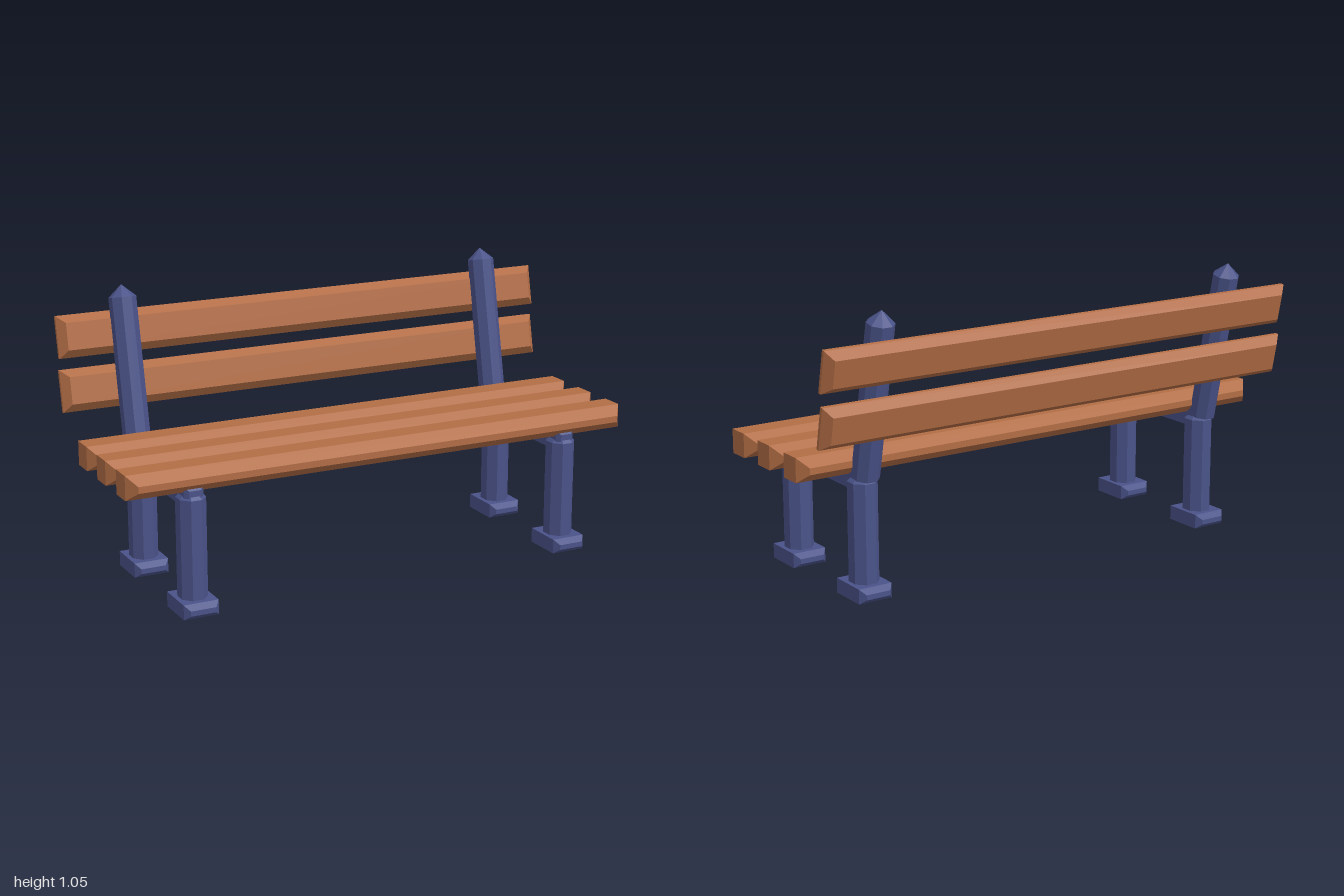
import * as THREE from 'three';

// Rectangular bar running along z whose two z ends are chamfered inwards
function bevelBar(width, height, depth, bevel, inset) {
  const w = width / 2, h = height / 2;
  const shape = new THREE.Shape([
    new THREE.Vector2(-w, -h), new THREE.Vector2(w, -h),
    new THREE.Vector2(w, h), new THREE.Vector2(-w, h),
  ]);
  return new THREE.ExtrudeGeometry(shape, {
    depth: depth - 2 * bevel, bevelEnabled: true, bevelSegments: 1,
    bevelThickness: bevel, bevelSize: inset, bevelOffset: -inset,
  }).center();
}

export function createModel() {
  const wood = new THREE.MeshStandardMaterial({ color: 0xb26d45, flatShading: true });
  wood.name = 'wood';
  const metal = new THREE.MeshStandardMaterial({ color: 0x4a5389, flatShading: true });
  metal.name = 'blue metal';

  const bench = new THREE.Group();
  bench.name = 'bench';

  const add = (parent, name, geometry, material, x, y, z) => {
    const mesh = new THREE.Mesh(geometry, material);
    mesh.name = name;
    mesh.position.set(x, y, z);
    parent.add(mesh);
    return mesh;
  };

  // Eight-sided post with a pointed cap, standing on its own origin
  const post = (name, apothem, height, capHeight) => {
    const group = new THREE.Group();
    group.name = name;
    const r = apothem / Math.cos(Math.PI / 8);
    const shaft = new THREE.CylinderGeometry(r, r, height, 8).rotateY(Math.PI / 8);
    const cap = new THREE.ConeGeometry(r, capHeight, 8).rotateY(Math.PI / 8);
    add(group, name + 'Shaft', shaft, metal, 0, height / 2, 0);
    add(group, name + 'Cap', cap, metal, 0, height + capHeight / 2, 0);
    return group;
  };

  const lean = -0.207;

  // Seat planks
  const seatGeometry = bevelBar(2, 0.09, 0.167, 0.041, 0.033);
  [0.27, 0.08, -0.11].forEach((z, i) =>
    add(bench, 'seatPlank' + (i + 1), seatGeometry, wood, 0, 0.49, z));

  // Leaning backrest planks
  const backGeometry = bevelBar(2, 0.156, 0.075, 0.031, 0.028);
  [[0.675, -0.325], [0.872, -0.346]].forEach(([y, z], i) => {
    add(bench, 'backPlank' + (i + 1), backGeometry, wood, 0, y, z).rotation.x = lean;
  });

  // Mirrored end frames
  const footGeometry = bevelBar(0.132, 0.055, 0.197, 0.022, 0.018);
  const railGeometry = bevelBar(0.074, 0.075, 0.535, 0.015, 0.015);
  for (const [side, sign] of [['left', 1], ['right', -1]]) {
    const frame = new THREE.Group();
    frame.name = side + 'Frame';
    frame.position.x = 0.754 * sign;
    bench.add(frame);

    for (const [name, z] of [['front', 0.293], ['back', -0.177]]) {
      add(frame, name + 'Foot', footGeometry, metal, 0, 0.0275, z);
      const leg = post(name + 'Leg', 0.054, 0.38, 0.05);
      leg.position.set(0, 0.04, z);
      leg.scale.x = 0.91;
      frame.add(leg);
    }

    add(frame, 'seatRail', railGeometry, metal, 0, 0.43, 0.068);

    const backPost = post('backPost', 0.047, 0.578, 0.046);
    backPost.position.set(0, 0.438, -0.2);
    backPost.rotation.x = lean;
    frame.add(backPost);
  }

  return bench;
}
